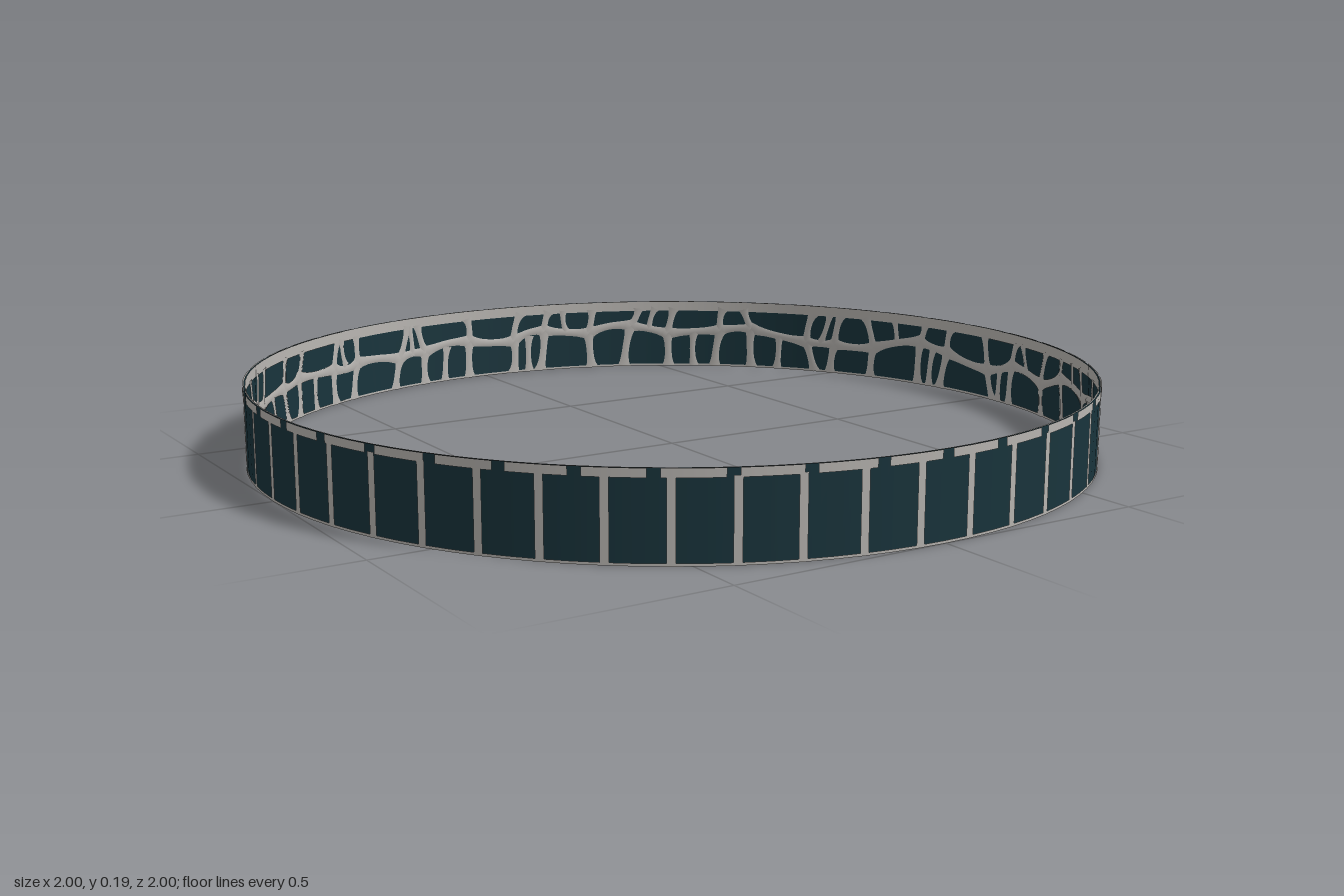
import * as THREE from 'three';
import { mergeGeometries } from 'three/addons/utils/BufferGeometryUtils.js';

const H = 0.19, BAY = 50, STEP = Math.PI * 2 / BAY;
const R_OUT = 1, R_GLASS = 0.997, R_IN = 0.994;

// Repeatable jitter in -1..1
function makeJitter(seed) {
  return () => {
    seed = (seed * 16807) % 2147483647;
    return (seed / 2147483647) * 2 - 1;
  };
}

// Open piece of cylinder wall between two heights; angle 0 faces +z
function wall(r, y0, y1, from = 0, sweep = Math.PI * 2, segs = 100) {
  const g = new THREE.CylinderGeometry(r, r, y1 - y0, segs, 1, true, from, sweep);
  return g.translate(0, (y0 + y1) / 2, 0);
}

// Flat strut on the inner wall: a bent centreline that flares at both ends
function strut(a0, y0, a1, y1, bendA, bendY, half) {
  const curve = new THREE.QuadraticBezierCurve(
    new THREE.Vector2(a0, y0),
    new THREE.Vector2((a0 + a1) / 2 + bendA, (y0 + y1) / 2 + bendY),
    new THREE.Vector2(a1, y1));
  const g = new THREE.PlaneGeometry(1, 1, 2, 8);
  const p = g.attributes.position;
  for (let i = 0; i < p.count; i++) {
    const t = THREE.MathUtils.clamp(p.getY(i) + 0.5, 0, 1);
    const c = curve.getPoint(t), d = curve.getTangent(t);
    const w = p.getX(i) * 2 * half * (1 + 0.9 * Math.pow(Math.abs(2 * t - 1), 3));
    const a = c.x - d.y * w;
    const y = THREE.MathUtils.clamp(c.y + d.x * w, 0, H);
    // the middle of the strut stands slightly proud
    const r = R_IN - (Math.abs(p.getX(i)) < 0.01 ? 0.003 : 0);
    p.setXYZ(i, Math.sin(a) * r, y, Math.cos(a) * r);
  }
  g.computeVertexNormals();
  return g;
}

export function createModel() {
  const group = new THREE.Group();
  const glassMat = new THREE.MeshStandardMaterial({ color: 0x19343c, side: THREE.DoubleSide });
  const frameMat = new THREE.MeshStandardMaterial({ color: 0xb9b6b2, side: THREE.DoubleSide });
  const add = (name, geometry, material) => {
    const m = new THREE.Mesh(geometry, material);
    m.name = name;
    group.add(m);
  };

  // Continuous glazed wall
  add('glassWall', wall(R_GLASS, 0, H), glassMat);

  // Outer upright bars between the panes
  const bars = [];
  for (let i = 0; i < BAY; i++) {
    const a = (i + 0.5) * STEP;
    bars.push(wall(R_OUT, 0, 0.175, a - 0.009, 0.018, 1));
  }
  add('mullions', mergeGeometries(bars), frameMat);

  // Broken rim along the outer top edge, with a thin sill below
  const rim = [], RIMS = 42, rs = Math.PI * 2 / RIMS;
  for (let i = 0; i < RIMS; i++) {
    rim.push(wall(R_OUT, 0.171, H, i * rs + 0.013, rs - 0.026, 3));
  }
  add('outerRim', mergeGeometries(rim), frameMat);
  add('outerSill', wall(R_OUT, 0, 0.006), frameMat);

  // Inner bands
  add('innerRim', wall(R_IN, 0.163, H), frameMat);
  add('innerSill', wall(R_IN, 0, 0.006), frameMat);

  // Branching web on the inside: a wavy tie with struts up and down
  const rnd = makeJitter(4217);
  const nodes = [];
  for (let i = 0; i < BAY; i++) {
    nodes.push([(i + 0.5 + rnd() * 0.22) * STEP, 0.1 + rnd() * 0.024]);
  }
  const web = [];
  nodes.forEach(([a, y], i) => {
    const last = i === BAY - 1;
    const [b, yb] = nodes[(i + 1) % BAY];
    const next = last ? b + Math.PI * 2 : b;
    web.push(strut(a, y, next, yb, 0, rnd() * 0.02, 0.01));
    web.push(strut(a, y, a + rnd() * 0.03, 0.17, rnd() * 0.012, 0, 0.009));
    web.push(strut(a, y, a + rnd() * 0.025, 0, rnd() * 0.01, 0, 0.01));
    // extra fork in most bays
    if (i % 3 !== 0) {
      const m = (a + next) / 2, ym = (y + yb) / 2;
      web.push(i % 2
        ? strut(m, ym, m + rnd() * 0.02, 0, rnd() * 0.012, 0, 0.008)
        : strut(m, ym, m + rnd() * 0.03, 0.17, rnd() * 0.012, 0, 0.007));
    }
  });
  add('innerWeb', mergeGeometries(web), frameMat);

  return group;
}
